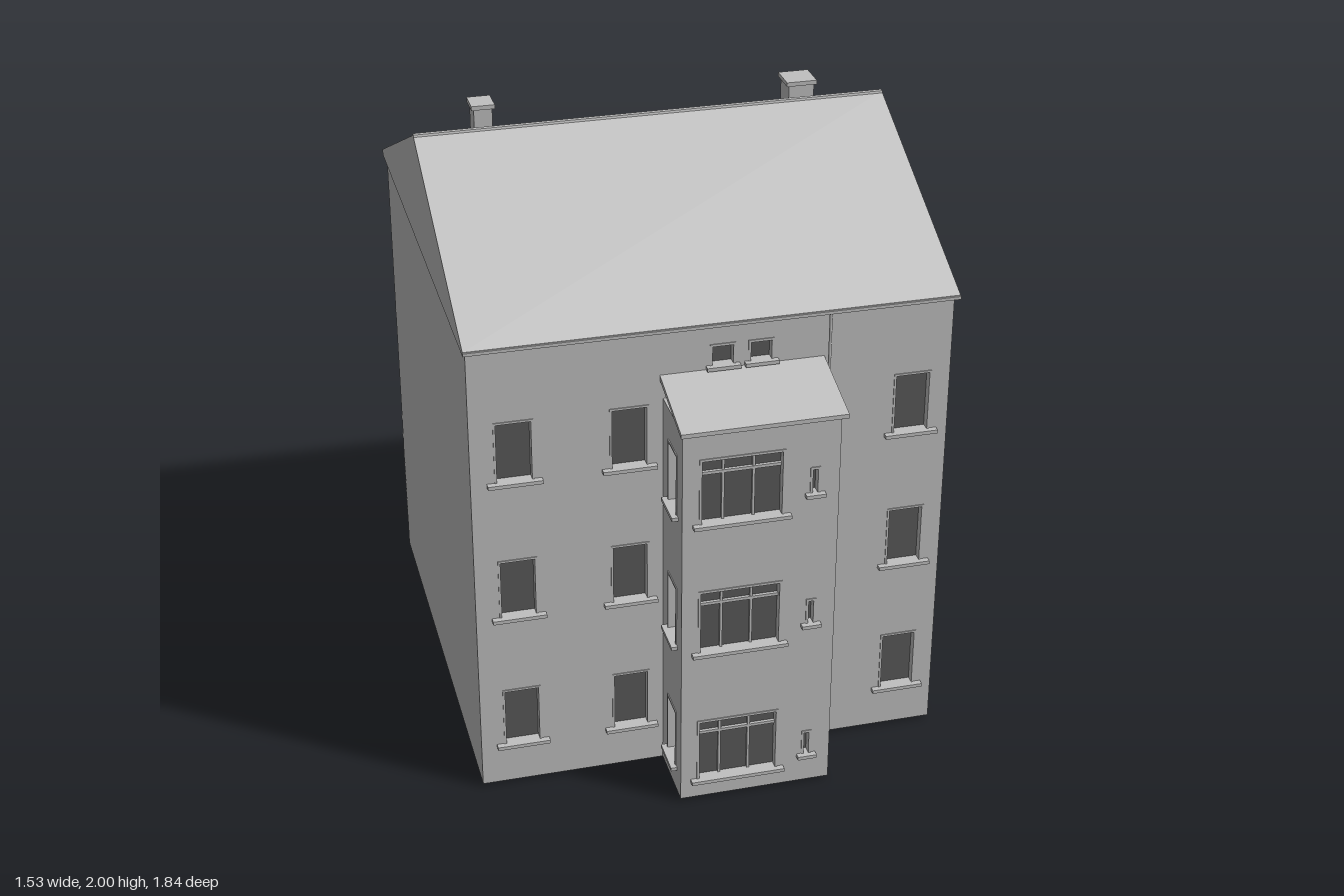
import * as THREE from 'three';

const stone = new THREE.MeshStandardMaterial({ color: 0xc0c0c0 });
stone.name = 'light grey stone';
const glassMat = new THREE.MeshStandardMaterial({ color: 0x5a5a5a });
glassMat.name = 'dark grey glass';

const REVEAL = 0.03; // depth of the window recesses

function add(parent, name, geometry, material = stone) {
  const mesh = new THREE.Mesh(geometry, material);
  mesh.name = name;
  parent.add(mesh);
  return mesh;
}

// Box given by its limits on each axis
function box(parent, name, x0, x1, y0, y1, z0, z1, material) {
  const mesh = add(parent, name, new THREE.BoxGeometry(x1 - x0, y1 - y0, z1 - z0), material);
  mesh.position.set((x0 + x1) / 2, (y0 + y1) / 2, (z0 + z1) / 2);
  return mesh;
}

function rectangle(target, x0, x1, y0, y1) {
  target.moveTo(x0, y0);
  target.lineTo(x1, y0);
  target.lineTo(x1, y1);
  target.lineTo(x0, y1);
  target.closePath();
  return target;
}

// Side profile (z, y) extruded along x, centred on x = cx
function prism(parent, name, points, width, cx) {
  const shape = new THREE.Shape(points.map(([z, y]) => new THREE.Vector2(-z, y)));
  const geometry = new THREE.ExtrudeGeometry(shape, { depth: width, bevelEnabled: false });
  geometry.translate(0, 0, -width / 2);
  geometry.rotateY(Math.PI / 2);
  add(parent, name, geometry).position.x = cx;
}

// Wall whose outer face is at z = 0, pierced by openings { x, y, w, h }
function wall(parent, name, x0, x1, y0, y1, openings) {
  const shape = rectangle(new THREE.Shape(), x0, x1, y0, y1);
  for (const o of openings) {
    shape.holes.push(rectangle(new THREE.Path(), o.x - o.w / 2, o.x + o.w / 2, o.y, o.y + o.h));
  }
  const geometry = new THREE.ExtrudeGeometry(shape, { depth: REVEAL, bevelEnabled: false });
  add(parent, name, geometry).position.z = -REVEAL;
  for (const o of openings) windowUnit(parent, o);
}

// Flat rectangular surround
function surround(parent, name, o, t, z0, z1) {
  const shape = rectangle(new THREE.Shape(), o.x - o.w / 2 - t, o.x + o.w / 2 + t, o.y - t, o.y + o.h + t);
  shape.holes.push(rectangle(new THREE.Path(), o.x - o.w / 2, o.x + o.w / 2, o.y, o.y + o.h));
  add(parent, name, new THREE.ExtrudeGeometry(shape, { depth: z1 - z0, bevelEnabled: false })).position.z = z0;
}

// Glass, bars, surround and sill of one opening
function windowUnit(parent, o) {
  const { x, y, w, h, bars = [], rail = 0, trim = 0, sill = 0, sillDepth = 0.02 } = o;
  const unit = new THREE.Group();
  unit.name = o.name || 'window';
  parent.add(unit);
  box(unit, 'glass', x - w / 2, x + w / 2, y, y + h, -REVEAL, -REVEAL + 0.005, glassMat);
  for (const b of bars) {
    box(unit, 'mullion', x + b - 0.004, x + b + 0.004, y, y + h, -REVEAL, -0.016);
  }
  if (rail) box(unit, 'transom', x - w / 2, x + w / 2, y + rail - 0.005, y + rail + 0.005, -REVEAL, -0.015);
  if (trim) surround(unit, 'surround', o, trim, -0.004, o.trimDepth || 0.003);
  if (sill) box(unit, 'sill', x - sill / 2, x + sill / 2, y - 0.012, y, -0.01, sillDepth);
}

// Garden side: plain windows around the stair bay
function gardenFacade(house) {
  const facade = new THREE.Group();
  facade.name = 'gardenFacade';
  facade.position.z = 0.665;
  house.add(facade);
  const openings = [];
  for (const y of [0.157, 0.637, 1.12]) {
    for (const x of [-0.62, -0.265, 0.635]) {
      openings.push({ x, y, w: 0.108, h: 0.198, trim: 0.007, sill: 0.17 });
    }
  }
  for (const x of [0.025, 0.145]) openings.push({ x, y: 1.433, w: 0.065, h: 0.062, trim: 0.008, sill: 0.105 });
  wall(facade, 'gardenWall', -0.755, 0.755, 0.01, 1.57, openings);
  // Rainwater pipe with brackets
  const pipe = add(facade, 'downpipe', new THREE.CylinderGeometry(0.005, 0.005, 1.54, 8));
  pipe.position.set(0.355, 0.8, 0.021);
  for (const y of [0.14, 0.625, 1.105]) box(facade, 'pipeBracket', 0.348, 0.362, y - 0.004, y + 0.004, 0, 0.028);
}

// Hollow projecting bay, open underneath, with a sloping slab roof
function stairBay(house) {
  const bay = new THREE.Group();
  bay.name = 'stairBay';
  house.add(bay);
  const front = new THREE.Group();
  front.name = 'bayFront';
  front.position.z = 0.895;
  bay.add(front);
  const openings = [];
  for (const y of [0.08, 0.562, 1.025]) {
    openings.push({ x: 0.025, y, w: 0.25, h: 0.215, trim: 0.008, sill: 0.305, bars: [-0.055, 0.04], rail: 0.165 });
  }
  for (const y of [0.115, 0.615, 1.085]) {
    openings.push({ x: 0.253, y, w: 0.016, h: 0.08, trim: 0.008, sill: 0.062 });
  }
  wall(front, 'bayFrontWall', -0.16, 0.33, 0.01, 1.34, openings);
  box(bay, 'bayRightWall', 0.3, 0.33, 0.01, 1.34, 0.665, 0.865);
  const side = new THREE.Group();
  side.name = 'baySide';
  side.position.set(-0.16, 0, 0.765);
  side.rotation.y = -Math.PI / 2;
  bay.add(side);
  wall(side, 'baySideWall', -0.1, 0.1, 0.01, 1.34,
    [0.1, 0.563, 1.03].map((y) => ({ x: 0.02, y, w: 0.09, h: 0.2, trim: 0.007, sill: 0.13 })));
  box(bay, 'bayCeiling', -0.159, 0.329, 1.325, 1.339, 0.665, 0.894);
  prism(bay, 'bayRoof', [[0.917, 1.338], [0.917, 1.352], [0.665, 1.42], [0.665, 1.403]], 0.515, 0.0875);
}

// Triangular hood over a window
function pediment(parent, x, y) {
  const shape = new THREE.Shape();
  shape.moveTo(x - 0.095, y);
  shape.lineTo(x + 0.095, y);
  shape.lineTo(x + 0.095, y + 0.012);
  shape.lineTo(x, y + 0.05);
  shape.lineTo(x - 0.095, y + 0.012);
  shape.closePath();
  const recess = new THREE.Path();
  recess.moveTo(x - 0.06, y + 0.012);
  recess.lineTo(x + 0.06, y + 0.012);
  recess.lineTo(x, y + 0.036);
  recess.closePath();
  shape.holes.push(recess);
  add(parent, 'pediment', new THREE.ExtrudeGeometry(shape, { depth: 0.025, bevelEnabled: false }));
}

// Street side: seven ornate bays, door in the middle
function streetFacade(house) {
  const facade = new THREE.Group();
  facade.name = 'streetFacade';
  facade.position.z = -0.84;
  facade.rotation.y = Math.PI;
  house.add(facade);
  const openings = [];
  for (let i = -3; i <= 3; i++) {
    const x = i * 0.213;
    const common = { x, w: 0.108, bars: [0], trim: 0.015, trimDepth: 0.009 };
    openings.push({ ...common, y: 1.085, h: 0.24, rail: 0.16, sill: 0.16, sillDepth: 0.025 });
    openings.push({ ...common, y: 0.6, h: 0.235, rail: 0.16, sill: 0.16, sillDepth: 0.025 });
    pediment(facade, x, 0.862);
    for (const s of [-1, 1]) {
      box(facade, 'sillBracket', x + s * 0.06 - 0.009, x + s * 0.06 + 0.009, 0.562, 0.588, 0, 0.016);
      box(facade, 'hoodBracket', x + s * 0.07 - 0.008, x + s * 0.07 + 0.008, 0.835, 0.862, 0, 0.016);
    }
    if (i === 0) {
      openings.push({ ...common, name: 'door', y: 0.06, h: 0.355, w: 0.115, rail: 0.27 });
    } else {
      openings.push({ ...common, y: 0.155, h: 0.26, rail: 0.175, sill: 0.16, sillDepth: 0.02 });
      // Cellar light
      openings.push({ name: 'cellarWindow', x, y: 0.03, w: 0.06, h: 0.035, trim: 0.01, trimDepth: 0.006 });
      box(facade, 'cellarSill', x - 0.052, x + 0.052, 0, 0.018, -0.005, 0.025);
    }
  }
  wall(facade, 'streetWall', -0.755, 0.755, 0.01, 1.57, openings);
  // Rusticated piers between the ground floor windows
  for (let i = -4; i < 4; i++) {
    const x0 = i === -4 ? -0.755 : (i + 0.5) * 0.213 - 0.025;
    const x1 = i === 3 ? 0.755 : (i + 0.5) * 0.213 + 0.025;
    for (let k = 0; k < 8; k++) {
      const y = 0.13 + k * 0.039;
      box(facade, 'rusticBlock', Math.max(x0, -0.755), i === -4 ? -0.72 : x1, y, y + 0.028, 0, 0.007);
    }
  }
  // String courses and eaves cornice: [bottom, top, projection]
  for (const [y0, y1, d] of [[0.458, 0.472, 0.018], [0.498, 0.506, 0.01], [0.535, 0.55, 0.015],
    [0.972, 0.984, 0.012], [1.535, 1.553, 0.032], [1.553, 1.57, 0.015]]) {
    box(facade, 'stringCourse', -0.755, 0.755, y0, y1, 0, d);
  }
  // Door steps
  [0.085, 0.065, 0.045].forEach((d, k) => {
    const half = 0.085 - k * 0.01;
    box(facade, 'doorStep', -half, half, 0.01 + k * 0.016, 0.026 + k * 0.016, 0, d);
  });
}

function chimney(house, x, z, width, depth, top) {
  const group = new THREE.Group();
  group.name = 'chimney';
  house.add(group);
  const w = width / 2, d = depth / 2;
  box(group, 'chimneyShaft', x - w + 0.008, x + w - 0.008, 1.85, top - 0.012, z - d + 0.005, z + d - 0.005);
  box(group, 'chimneyCap', x - w, x + w, top - 0.014, top, z - d, z + d);
}

export function createModel() {
  const house = new THREE.Group();
  house.name = 'townHouse';
  box(house, 'houseCore', -0.755, 0.755, 0.01, 1.57, -0.84 + REVEAL, 0.665 - REVEAL);
  gardenFacade(house);
  stairBay(house);
  streetFacade(house);
  // Gabled roof with thin eaves and a ridge cap
  prism(house, 'roof', [[0.688, 1.57], [0.688, 1.584], [-0.095, 1.948], [-0.865, 1.59], [-0.865, 1.57]], 1.53, 0);
  prism(house, 'ridgeCap', [[-0.085, 1.94], [-0.088, 1.951], [-0.102, 1.951], [-0.105, 1.94]], 1.53, 0);
  box(house, 'gutter', -0.765, 0.765, 1.572, 1.582, 0.68, 0.694);
  chimney(house, -0.532, -0.197, 0.075, 0.085, 2);
  chimney(house, 0.51, -0.195, 0.1, 0.1, 1.985);
  return house;
}
